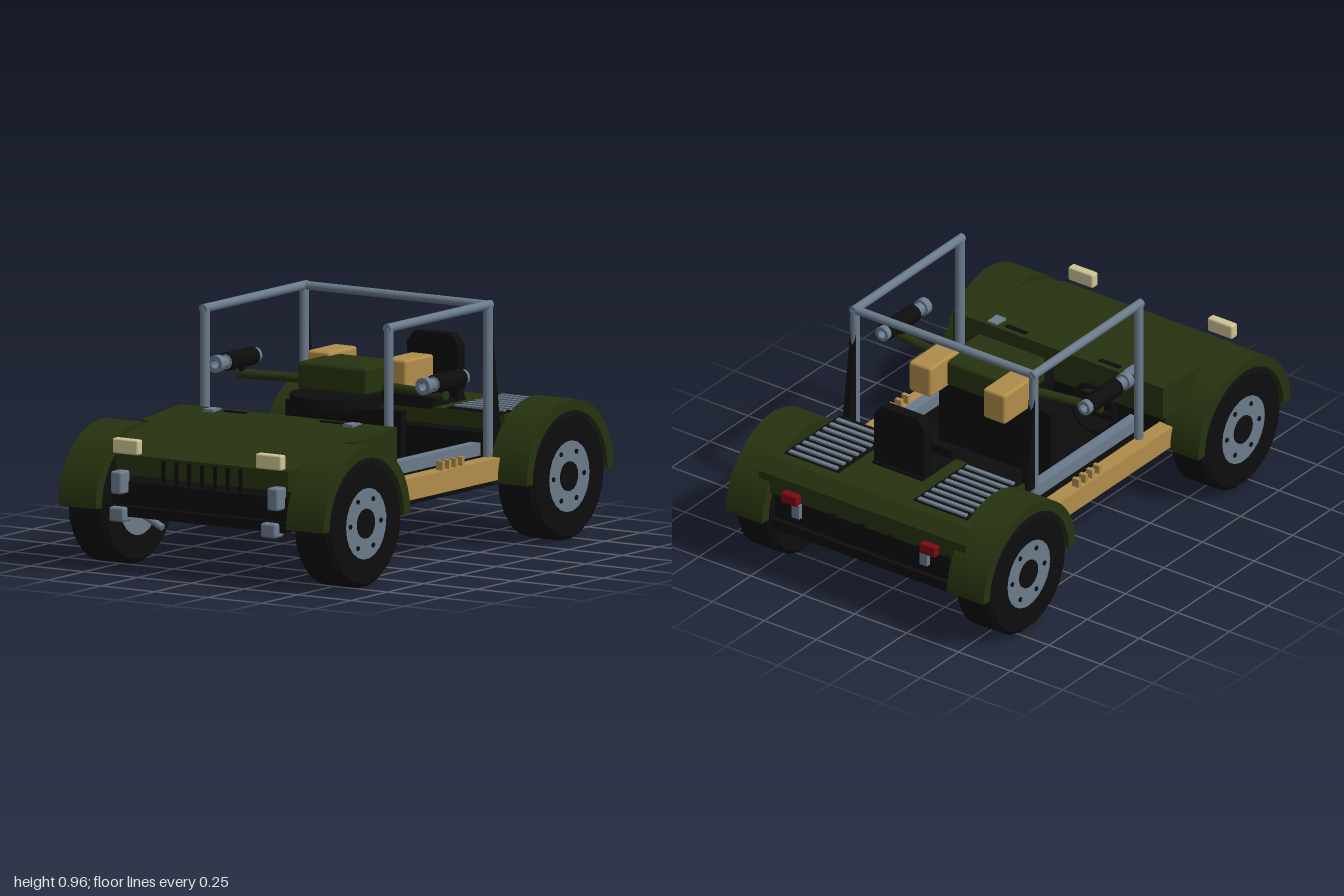
import * as THREE from 'three';
import { toCreasedNormals } from 'three/addons/utils/BufferGeometryUtils.js';
import { RoundedBoxGeometry } from 'three/addons/geometries/RoundedBoxGeometry.js';

const paint = (name, color) => Object.assign(new THREE.MeshStandardMaterial({ color }), { name });

export function createModel() {
  const green = paint('olive green', 0x26330f);
  const black = paint('black', 0x0d0d0d);
  const grey = paint('steel grey', 0x6b7b8c);
  const tan = paint('tan', 0xb08d4a);
  const cream = paint('lamp cream', 0xcfc495);
  const red = paint('lamp red', 0x7a0a10);
  const model = new THREE.Group();
  model.name = 'buggy';

  const add = (name, geo, mat, x = 0, y = 0, z = 0) => {
    const mesh = new THREE.Mesh(geo, mat);
    mesh.name = name;
    mesh.position.set(x, y, z);
    model.add(mesh);
    return mesh;
  };
  // Box given by its limits on each axis
  const box = (name, mat, x0, x1, y0, y1, z0, z1, round = 0) => {
    const s = [x1 - x0, y1 - y0, z1 - z0];
    const geo = round ? new RoundedBoxGeometry(...s, 2, round) : new THREE.BoxGeometry(...s);
    return add(name, geo, mat, (x0 + x1) / 2, (y0 + y1) / 2, (z0 + z1) / 2);
  };
  // Box mirrored to both sides
  const pair = (name, mat, x0, x1, ...rest) => {
    box(name, mat, x0, x1, ...rest);
    box(name, mat, -x1, -x0, ...rest);
  };
  // Round bar between two points
  const bar = (name, mat, a, b, r) => {
    const p = new THREE.Vector3(...a), q = new THREE.Vector3(...b);
    const mesh = add(name, new THREE.CylinderGeometry(r, r, p.distanceTo(q), 12), mat);
    mesh.position.copy(p).lerp(q, 0.5);
    mesh.quaternion.setFromUnitVectors(new THREE.Vector3(0, 1, 0), q.sub(p).normalize());
  };
  // Shape drawn in (z, y), extruded across x
  const sidePlate = (name, mat, shape, x0, x1, z = 0, y = 0) => {
    const geo = new THREE.ExtrudeGeometry(shape, { depth: x1 - x0, bevelEnabled: false, curveSegments: 18 });
    geo.rotateY(-Math.PI / 2);
    add(name, geo, mat, x1, y, z);
  };
  // Faceted body through rectangles [z, halfWidth, bottom, top], z ascending
  const loft = (name, mat, sections) => {
    const v = [];
    const rings = sections.map(([z, w, b, t]) => [[-w, b, z], [w, b, z], [w, t, z], [-w, t, z]]);
    const quad = (a, b, c, d) => v.push(...a, ...b, ...c, ...a, ...c, ...d);
    for (let k = 0; k < rings.length - 1; k++) {
      const A = rings[k], B = rings[k + 1];
      for (let i = 0; i < 4; i++) quad(A[i], A[(i + 1) % 4], B[(i + 1) % 4], B[i]);
    }
    const first = rings[0], last = rings[rings.length - 1];
    quad(first[3], first[2], first[1], first[0]);
    quad(...last);
    const geo = new THREE.BufferGeometry();
    geo.setAttribute('position', new THREE.Float32BufferAttribute(v, 3));
    geo.computeVertexNormals();
    add(name, geo, mat);
  };
  const lathe = (pts, n) => toCreasedNormals(
    new THREE.LatheGeometry(pts.map(p => new THREE.Vector2(...p)), n), 0.6);

  // Chassis
  box('floorPan', black, -0.42, 0.42, 0.23, 0.27, -0.97, 0.965);
  loft('frontBlock', black, [[0.42, 0.42, 0.25, 0.43], [0.88, 0.42, 0.25, 0.39], [0.93, 0.42, 0.23, 0.36]]);
  loft('rearBlock', black, [[-0.95, 0.42, 0.25, 0.38], [-0.9, 0.42, 0.25, 0.44], [-0.42, 0.42, 0.25, 0.44]]);

  // Hood and grille slots
  loft('hood', green, [[0.325, 0.505, 0.43, 0.57], [0.6, 0.5, 0.43, 0.548], [0.62, 0.45, 0.43, 0.545],
    [0.77, 0.45, 0.39, 0.525], [0.87, 0.44, 0.385, 0.485], [0.92, 0.4, 0.385, 0.465]]);
  for (let i = -3; i <= 3; i++) box('grilleSlot', black, i * 0.06 - 0.008, i * 0.06 + 0.008, 0.35, 0.455, 0.912, 0.925);
  pair('hoodHinge', grey, 0.305, 0.35, 0.56, 0.575, 0.34, 0.4);
  pair('hoodSlit', black, 0.175, 0.275, 0.56, 0.572, 0.35, 0.37);

  // Rear deck with louvred vents
  loft('rearDeck', green, [[-0.95, 0.5, 0.37, 0.45], [-0.9, 0.5, 0.4, 0.5], [-0.85, 0.45, 0.42, 0.505], [-0.5, 0.45, 0.42, 0.505]]);
  pair('ventPanel', black, 0.18, 0.44, 0.503, 0.51, -0.86, -0.5);
  for (let i = 0; i < 8; i++) pair('ventSlat', grey, 0.195, 0.425, 0.508, 0.518, -0.855 + i * 0.044, -0.837 + i * 0.044);
  box('deckSeat', black, -0.12, 0.12, 0.5, 0.515, -0.72, -0.48);
  box('deckSeatFront', black, -0.12, 0.12, 0.5, 0.555, -0.53, -0.49);
  const back = new THREE.Shape([[-0.12, 0.5], [0.12, 0.5], [0.12, 0.725], [0.085, 0.765], [-0.085, 0.765], [-0.12, 0.725]]
    .map(p => new THREE.Vector2(...p)));
  add('deckBackrest', new THREE.ExtrudeGeometry(back, { depth: 0.045, bevelEnabled: false }), black, 0, 0, -0.71);

  // Wheels and arched fenders
  const tyre = lathe([[0.14, -0.0875], [0.235, -0.0875], [0.252, -0.07], [0.252, 0.07], [0.235, 0.0875], [0.14, 0.0875]], 22);
  const arch = new THREE.Shape();
  arch.absarc(0, 0, 0.3, 0, Math.PI, false);
  arch.absarc(0, 0, 0.257, Math.PI, 0, true);
  for (const s of [-1, 1]) for (const z of [-0.7, 0.7]) {
    const wheel = new THREE.Group();
    wheel.name = 'wheel';
    wheel.position.set(s * 0.53, 0.252, z);
    wheel.rotation.z = -s * Math.PI / 2;
    const part = (name, geo, mat, x, y, pz) => {
      const m = new THREE.Mesh(geo, mat);
      m.name = name;
      m.position.set(x, y, pz);
      wheel.add(m);
    };
    part('tyre', tyre, black, 0, 0, 0);
    part('hub', new THREE.CylinderGeometry(0.145, 0.145, 0.164, 24), grey, 0, 0, 0);
    part('hubCap', new THREE.CylinderGeometry(0.058, 0.058, 0.012, 18), black, 0, 0.083, 0);
    for (let i = 0; i < 6; i++) {
      const a = i * Math.PI / 3;
      part('lugNut', new THREE.CylinderGeometry(0.01, 0.01, 0.008, 6), black, Math.sin(a) * 0.105, 0.083, Math.cos(a) * 0.105);
    }
    model.add(wheel);
    sidePlate('fender', green, arch, Math.min(s * 0.445, s * 0.62), Math.max(s * 0.445, s * 0.62), z, 0.252);
    bar('suspensionLink', grey, [s * 0.45, 0.205, z], [s * 0.335, 0.15, z], 0.014);
  }

  // Sills and inner rails
  pair('sill', tan, 0.42, 0.485, 0.265, 0.35, -0.42, 0.42);
  pair('innerRail', grey, 0.345, 0.39, 0.35, 0.4, -0.5, 0.33);
  pair('railSupport', black, 0.345, 0.39, 0.26, 0.35, -0.5, 0.33);
  for (let i = 0; i < 4; i++) pair('sillTooth', tan, 0.445, 0.475, 0.35, 0.385, -0.05 - i * 0.045, -0.033 - i * 0.045);

  // Roll cage
  const gusset = new THREE.Shape([[-0.42, 0.9], [-0.48, 0.45], [-0.42, 0.45]].map(p => new THREE.Vector2(...p)));
  for (const s of [-1, 1]) {
    const x = s * 0.43;
    bar('cageFrontPost', grey, [x, 0.35, 0.27], [x, 0.945, 0.27], 0.019);
    bar('cageRearPost', grey, [x, 0.3, -0.415], [x, 0.945, -0.415], 0.019);
    bar('cageSideRail', grey, [x, 0.945, 0.285], [x, 0.945, -0.43], 0.018);
    sidePlate('cageGusset', black, gusset, x - 0.014, x + 0.014);
  }
  bar('cageCrossBar', grey, [-0.43, 0.945, -0.415], [0.43, 0.945, -0.415], 0.017);

  // Turret: platform, seat plate, housing, crates and side arms
  add('turretPlatform', new THREE.CylinderGeometry(0.18, 0.18, 0.045, 24), black, 0, 0.592, 0);
  box('seatPlate', black, -0.27, 0.27, 0.26, 0.56, -0.085, -0.05);
  box('turretHousing', green, -0.162, 0.162, 0.62, 0.73, -0.225, 0.03, 0.015);
  pair('crate', tan, 0.125, 0.232, 0.615, 0.745, -0.335, -0.14, 0.012);
  const barrel = lathe([[0.017, -0.165], [0.03, -0.165], [0.03, 0.05], [0.024, 0.05], [0.024, 0.09],
    [0.034, 0.09], [0.034, 0.12], [0.017, 0.12], [0.017, -0.165]], 16);
  const sleeve = lathe([[0.018, -0.14], [0.036, -0.14], [0.036, 0.045], [0.018, 0.045]], 16);
  for (const s of [-1, 1]) {
    bar('turretArm', green, [s * 0.13, 0.643, -0.1], [s * 0.485, 0.643, -0.045], 0.019);
    add('armMount', new THREE.CylinderGeometry(0.014, 0.014, 0.04, 10), black, s * 0.47, 0.66, -0.045);
    add('barrel', barrel, grey, s * 0.486, 0.7, 0).rotation.x = Math.PI / 2;
    add('barrelSleeve', sleeve, black, s * 0.486, 0.7, 0).rotation.x = Math.PI / 2;
  }

  // Steering wheel
  add('steeringWheel', new THREE.TorusGeometry(0.1, 0.011, 8, 20), black, -0.24, 0.43, 0.235);
  bar('steeringColumn', black, [-0.24, 0.43, 0.235], [-0.24, 0.45, 0.33], 0.012);
  bar('steeringSpoke', black, [-0.34, 0.43, 0.235], [-0.14, 0.43, 0.235], 0.009);

  // Lamps and bumper brackets
  pair('headlight', cream, 0.275, 0.395, 0.472, 0.532, 0.925, 0.962, 0.008);
  pair('upperFrontBracket', grey, 0.34, 0.392, 0.315, 0.405, 0.915, 0.98, 0.01);
  pair('lowerFrontBracket', grey, 0.32, 0.39, 0.21, 0.268, 0.93, 0.995, 0.01);
  pair('tailLight', red, 0.295, 0.37, 0.365, 0.41, -0.98, -0.945, 0.006);
  pair('rearBracket', grey, 0.29, 0.325, 0.31, 0.37, -0.97, -0.94);

  // Pegs below the floor
  for (const [x, z] of [[-0.237, 0.03], [0.237, 0.03], [0, -0.41]]) bar('floorPeg', grey, [x, 0.153, z], [x, 0.235, z], 0.02);

  return model;
}
